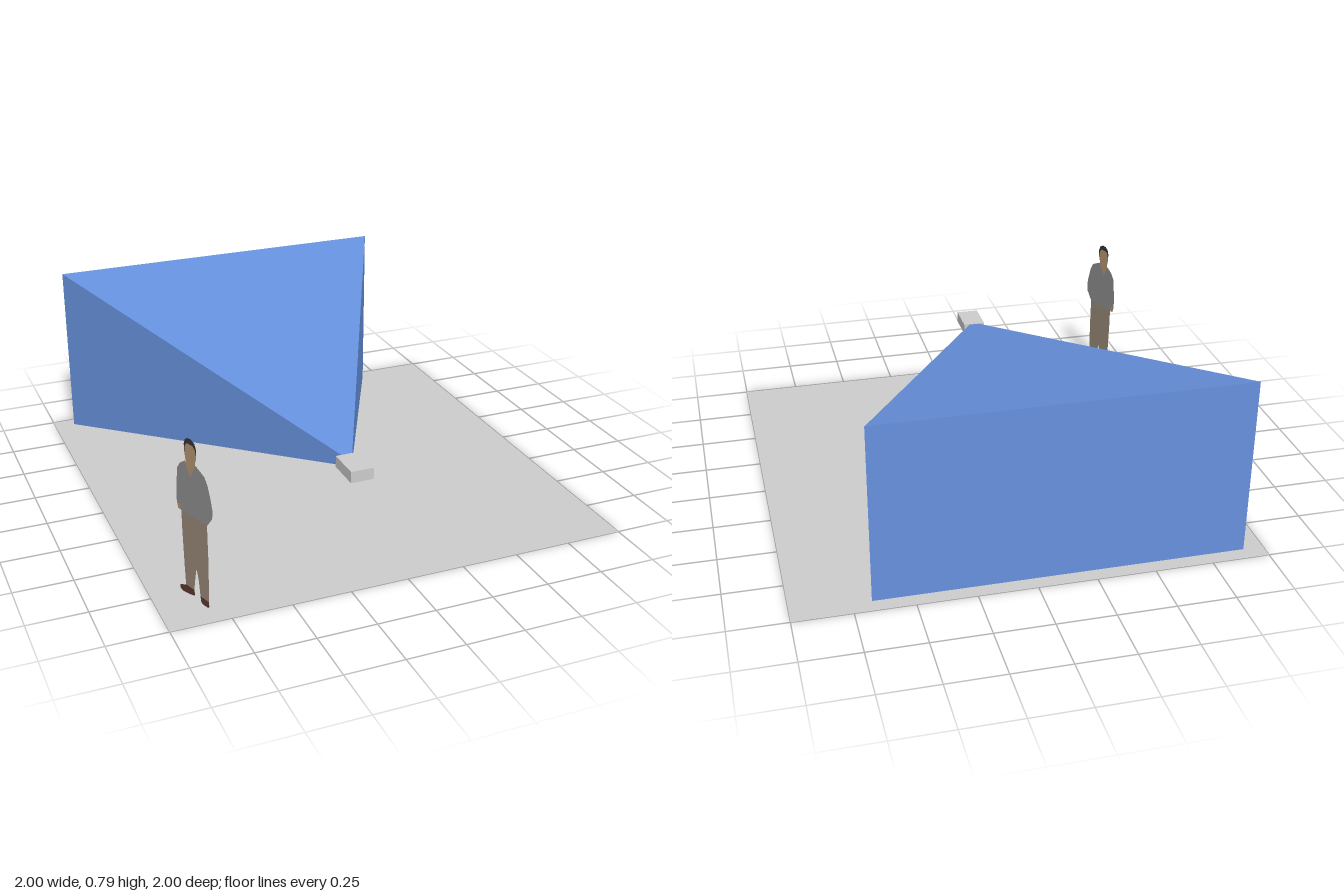
import * as THREE from 'three';

const paint = (color, side = THREE.FrontSide) => new THREE.MeshStandardMaterial({ color, side });

function part(name, geometry, material, x = 0, y = 0, z = 0) {
  const mesh = new THREE.Mesh(geometry, material);
  mesh.name = name;
  mesh.position.set(x, y, z);
  return mesh;
}

// Flat cut-out piece; outline points are in hundredths of a unit
function cutout(name, color, points) {
  const shape = new THREE.Shape(points.map(([u, v]) => new THREE.Vector2(u / 100, v / 100)));
  return part(name, new THREE.ShapeGeometry(shape), paint(color, THREE.DoubleSide));
}

// Flat standing figure, seen almost edge-on from the front
function createFigure() {
  const figure = new THREE.Group();
  figure.name = 'standingFigure';
  figure.add(
    cutout('hair', 0x343434, [[-2.7, 63.5], [-2.8, 67], [-1.8, 69.2], [0.2, 70.2], [2.4, 70.2], [4.2, 69],
      [5, 67], [4.9, 63.5], [4.3, 66.5], [3, 67.8], [-0.6, 67.8], [-2, 66.5]]),
    cutout('face', 0xb39271, [[-2.7, 63.5], [-2, 66.5], [-0.6, 67.8], [3, 67.8], [4.3, 66.5], [4.9, 63.5],
      [4.4, 61], [4.4, 58.8], [1.7, 54], [-1.6, 59.5], [-1.8, 61]]),
    cutout('jacket', 0x8c8c8c, [[-1.6, 60.3], [-4.5, 59], [-7.5, 57.5], [-9.3, 54.5], [-11, 49], [-11.8, 45],
      [-11.5, 41.5], [-8, 37], [8.5, 37], [9, 39.5], [11.3, 39.8], [11.4, 43], [11, 48], [10, 55],
      [8.2, 57.6], [4.6, 60], [4.4, 58.8], [1.7, 54], [-1.6, 59.5]]),
    cutout('hand', 0xb39271, [[8.5, 37], [9, 39.5], [11.3, 39.8], [10.6, 37.2]]),
    cutout('trousers', 0x968675, [[-8, 37], [-8.1, 20], [-7.5, 3], [-2, 3], [-1.2, 10], [0, 14.5], [1.3, 8.5],
      [2, 4], [7.5, 4], [7.9, 12], [8.5, 30], [8.5, 37]]),
    cutout('rearShoe', 0x5a372c, [[-7.5, 3], [-7.6, 1], [-7, 0], [-3, 0], [-2.2, 0.8], [-2, 3]]),
    cutout('frontShoe', 0x5a372c, [[2, 4], [1.6, 1.5], [5, 0.6], [10, 0], [11.7, 0.8], [11.4, 2.2], [7.5, 4]]),
  );
  figure.position.set(-0.835, 0, 0.834);
  figure.rotation.y = 1.893;
  return figure;
}

// Projected beam: a box whose front end shrinks to the lens
function beamGeometry() {
  const geometry = new THREE.BoxGeometry(1.58, 0.79, 1.59);
  const p = geometry.attributes.position;
  for (let i = 0; i < p.count; i++) {
    if (p.getZ(i) > 0) p.setXY(i, p.getX(i) * 0.029, p.getY(i) * 0.057);
  }
  geometry.computeVertexNormals();
  return geometry;
}

// Flared planter with a sunken floor
function planterGeometry() {
  const profile = [[0.117, 0], [0.165, 0.16], [0.15, 0.16], [0.142, 0.135], [0, 0.135]];
  return new THREE.LatheGeometry(profile.map(([r, y]) => new THREE.Vector2(r, y)), 40);
}

export function createModel() {
  const model = new THREE.Group();
  model.name = 'projectionSetup';

  const floor = part('floor', new THREE.PlaneGeometry(2, 2), paint(0xcccccc, THREE.DoubleSide));
  floor.rotation.x = -Math.PI / 2;

  model.add(
    floor,
    part('beam', beamGeometry(), paint(0x6690dc), -0.12, 0.398, -0.145),
    part('projectorBox', new THREE.BoxGeometry(0.1, 0.05, 0.155), paint(0xcccccc), -0.12, 0.398, 0.727),
    part('planter', planterGeometry(), paint(0xcccccc, THREE.DoubleSide), -0.16, 0, -0.637),
    createFigure(),
  );
  return model;
}
